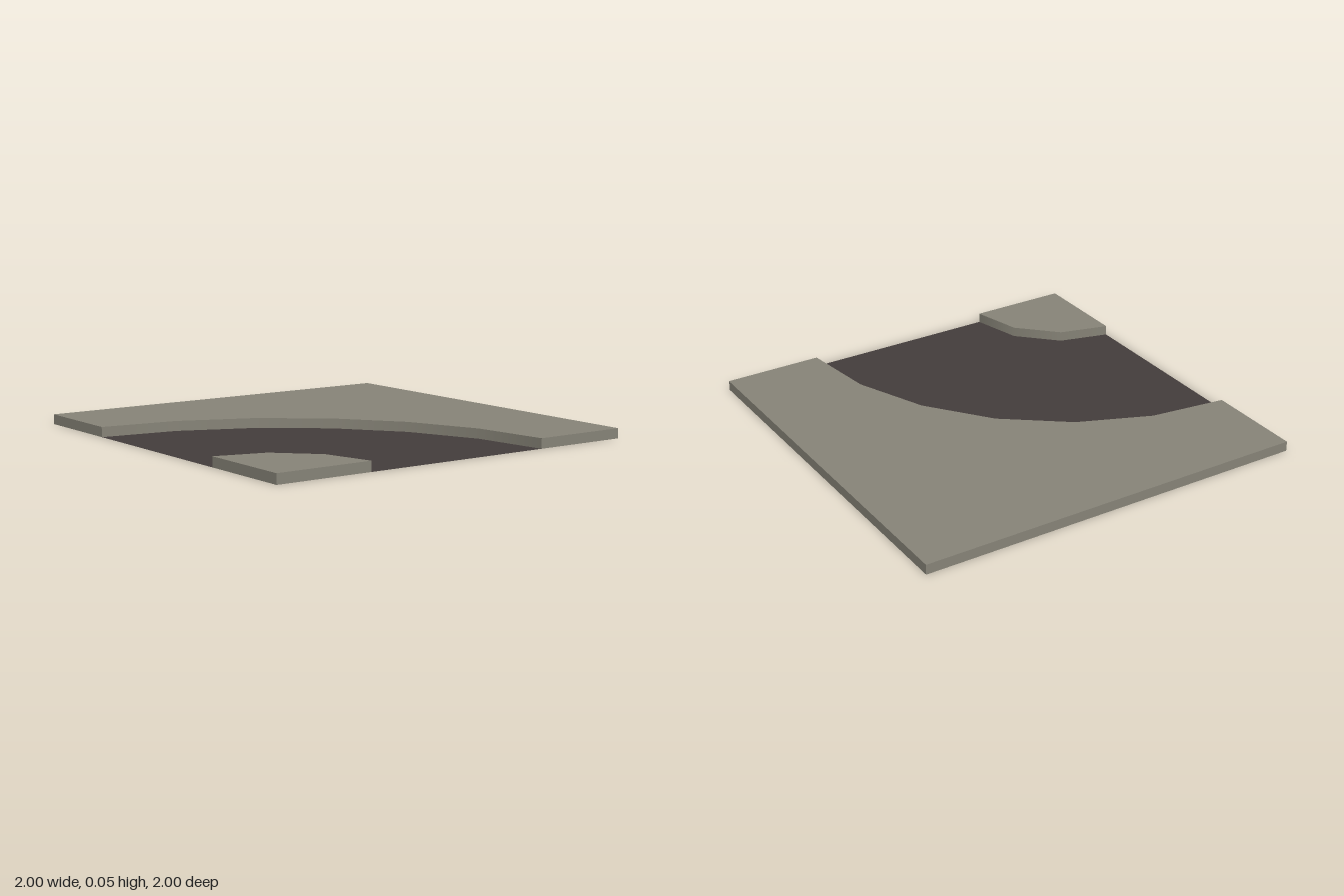
import * as THREE from 'three';

const HEIGHT = 0.05; // kerb height
const OUTER = 1.5, INNER = 0.5; // road bend radii around the corner (1, 1)
const OUTER_STEPS = 6, INNER_STEPS = 3;

// Points [x, z] of a quarter arc around (1, 1), from the right edge to the front edge
function arc(radius, steps) {
  return Array.from({ length: steps + 1 }, (_, i) => {
    const a = (i / steps) * Math.PI / 2;
    return [1 - radius * Math.sin(a), 1 - radius * Math.cos(a)];
  });
}

export function createModel() {
  const group = new THREE.Group();
  const side = THREE.DoubleSide;
  const pavement = new THREE.MeshStandardMaterial({ color: 0x858276, side });
  pavement.name = 'pavement grey';
  const asphalt = new THREE.MeshStandardMaterial({ color: 0x433c3b, side });
  asphalt.name = 'asphalt dark';

  const add = (name, geometry, material) => {
    const mesh = new THREE.Mesh(geometry, material);
    mesh.name = name;
    group.add(mesh);
    return mesh;
  };

  // Flat sheet from [x, z] points, facing up
  const sheet = (name, points, y, material) => {
    const shape = new THREE.Shape(points.map(([x, z]) => new THREE.Vector2(x, -z)));
    add(name, new THREE.ShapeGeometry(shape).rotateX(-Math.PI / 2), material).position.y = y;
  };

  // Straight upright edge between two [x, z] points, facing outwards
  const wall = (name, [x0, z0], [x1, z1]) => {
    const mesh = add(name, new THREE.PlaneGeometry(Math.hypot(x1 - x0, z1 - z0), HEIGHT), pavement);
    mesh.position.set((x0 + x1) / 2, HEIGHT / 2, (z0 + z1) / 2);
    mesh.rotation.y = -Math.atan2(z1 - z0, x1 - x0);
  };

  // Curved kerb, smooth shaded
  const kerb = (name, radius, steps) => {
    const geometry = new THREE.CylinderGeometry(radius, radius, HEIGHT, steps, 1, true, Math.PI, Math.PI / 2);
    add(name, geometry, pavement).position.set(1, HEIGHT / 2, 1);
  };

  const outer = arc(OUTER, OUTER_STEPS), inner = arc(INNER, INNER_STEPS);

  // Road surface and raised pavements, hollow underneath
  sheet('road', [...outer, ...inner.slice().reverse()], 0, asphalt);
  sheet('outerPavement', [...outer, [-1, 1], [-1, -1], [1, -1]], HEIGHT, pavement);
  sheet('cornerPavement', [...inner, [1, 1]], HEIGHT, pavement);
  kerb('outerKerb', OUTER, OUTER_STEPS);
  kerb('cornerKerb', INNER, INNER_STEPS);

  // Outside edges, left open where the road leaves the tile
  wall('backEdge', [1, -1], [-1, -1]);
  wall('sideEdge', [-1, -1], [-1, 1]);
  wall('frontEdge', [-1, 1], [-0.5, 1]);
  wall('roadEndEdge', [1, -0.5], [1, -1]);
  wall('cornerFrontEdge', [0.5, 1], [1, 1]);
  wall('cornerSideEdge', [1, 1], [1, 0.5]);

  return group;
}
